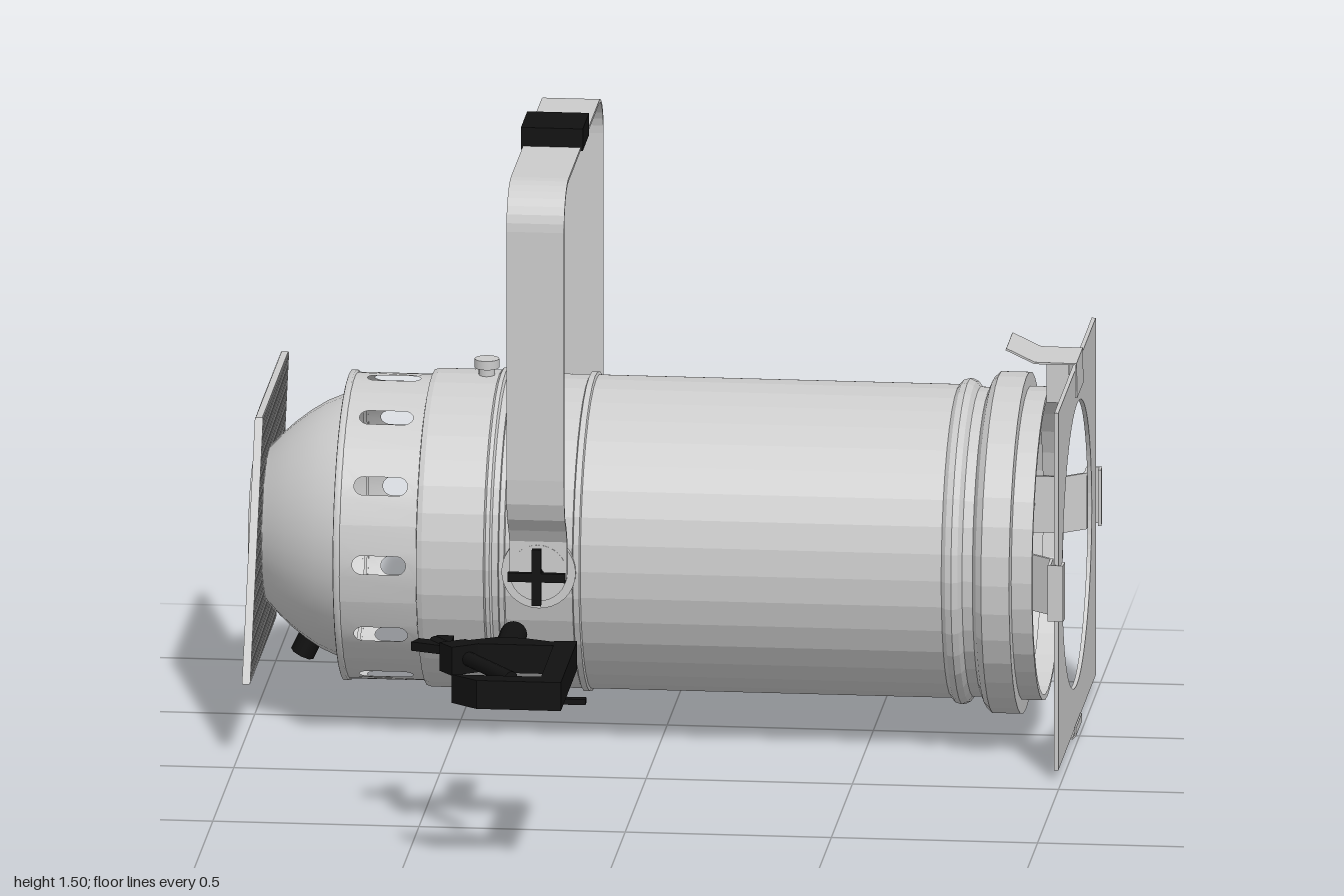
import * as THREE from 'three';
import { mergeGeometries } from 'three/addons/utils/BufferGeometryUtils.js';

const grey = new THREE.MeshStandardMaterial({ color: 0xcccccc, side: THREE.DoubleSide });
const facet = new THREE.MeshStandardMaterial({ color: 0xcccccc, side: THREE.DoubleSide, flatShading: true });
const black = new THREE.MeshStandardMaterial({ color: 0x111111 });
const V2 = (p) => new THREE.Vector2(p[0], p[1]);

function add(parent, name, geo, mat, x = 0, y = 0, z = 0) {
  const m = new THREE.Mesh(geo, mat);
  m.name = name;
  m.position.set(x, y, z);
  parent.add(m);
  return m;
}

// Solid of revolution about the x axis, from [x, radius] pairs
function turned(profile, segments = 36) {
  return new THREE.LatheGeometry(profile.map(([x, r]) => new THREE.Vector2(r, x)), segments).rotateZ(-Math.PI / 2);
}

// Bent sheet strip: path in xy, width centred along z
function ribbon(path, width, t = 0.008) {
  const pts = path.map(V2);
  const off = pts.map((p, i) => {
    const d = pts[Math.min(i + 1, pts.length - 1)].clone().sub(pts[Math.max(i - 1, 0)]).normalize();
    return new THREE.Vector2(p.x - d.y * t, p.y + d.x * t);
  });
  return new THREE.ExtrudeGeometry(new THREE.Shape([...pts, ...off.reverse()]),
    { depth: width, bevelEnabled: false }).translate(0, 0, -width / 2);
}

// One vented sector of the rear can, wrapped from flat sheet to cylinder
function ventSector(x0, x1, r, angle) {
  const h = (Math.PI / 12) * r, pts = [];
  for (let i = 0; i <= 6; i++) pts.push([x0, -h + (i * h) / 3]);
  for (let i = 6; i >= 0; i--) pts.push([x1, -h + (i * h) / 3]);
  const shape = new THREE.Shape(pts.map(V2));
  const slot = new THREE.Path(), w = 0.023;
  slot.absarc(-0.707, 0, w, Math.PI / 2, Math.PI * 1.5, false);
  slot.absarc(-0.623, 0, w, -Math.PI / 2, Math.PI / 2, false);
  shape.holes.push(slot);
  const g = new THREE.ShapeGeometry(shape, 6), p = g.attributes.position;
  for (let i = 0; i < p.count; i++) {
    const a = p.getY(i) / r + angle;
    p.setXYZ(i, p.getX(i), r * Math.sin(a), r * Math.cos(a));
  }
  g.computeVertexNormals();
  return g;
}

// Four-winged hand knob, stem along +z
function crossKnob() {
  const g = new THREE.Group();
  g.name = 'crossKnob';
  add(g, 'knobWing', new THREE.BoxGeometry(0.14, 0.022, 0.014), black, 0, 0, 0.045);
  add(g, 'knobWing', new THREE.BoxGeometry(0.022, 0.14, 0.014), black, 0, 0, 0.045);
  add(g, 'knobStem', new THREE.CylinderGeometry(0.013, 0.013, 0.06, 10).rotateX(Math.PI / 2), black, 0, 0, 0.02);
  return g;
}

function buildCan(f) {
  add(f, 'barrel', turned([[-0.36, 0.38], [-0.195, 0.38], [-0.192, 0.387], [-0.178, 0.387], [-0.175, 0.38],
    [0.7, 0.38], [0.71, 0.391], [0.725, 0.395], [0.74, 0.388], [0.75, 0.375], [0.775, 0.375], [0.785, 0.4],
    [0.8, 0.414], [0.868, 0.414], [0.87, 0.38], [0.92, 0.38], [0.92, 0.365]]), facet);
  add(f, 'lampCollar', turned([[-0.575, 0.37], [-0.573, 0.382], [-0.56, 0.386], [-0.41, 0.386], [-0.405, 0.391],
    [-0.395, 0.391], [-0.39, 0.383], [-0.375, 0.383], [-0.372, 0.389], [-0.36, 0.389], [-0.358, 0.38]]), facet);
  add(f, 'frontInnerRing', turned([[0.79, 0.375], [0.79, 0.355], [0.82, 0.355], [0.82, 0.375]]), grey);
  const sectors = [];
  for (let i = 0; i < 12; i++) sectors.push(ventSector(-0.765, -0.575, 0.37, (i * Math.PI) / 6));
  add(f, 'ventedRearCan', mergeGeometries(sectors), grey);
  add(f, 'rearLip', turned([[-0.76, 0.37], [-0.763, 0.376], [-0.775, 0.376], [-0.777, 0.37], [-0.77, 0.325]]), grey);
  add(f, 'rearDome', turned([[-0.97, 0.185], [-0.955, 0.2], [-0.935, 0.222], [-0.905, 0.249], [-0.87, 0.276],
    [-0.83, 0.301], [-0.79, 0.318], [-0.765, 0.327]]), grey);
  // Lamp: domed lens, bowl and socket
  const lens = [];
  for (let i = 0; i <= 10; i++) {
    const a = (i / 10) * Math.PI / 2;
    lens.push([-0.45 + 0.17 * Math.sin(a), 0.362 * Math.cos(a)]);
  }
  add(f, 'lampLens', turned(lens), grey);
  add(f, 'lampBowl', turned([[-0.8, 0], [-0.8, 0.06], [-0.6, 0.06], [-0.57, 0.16], [-0.52, 0.28], [-0.45, 0.362]]), grey);
  add(f, 'topKnob', new THREE.CylinderGeometry(0.03, 0.03, 0.022, 20), grey, -0.44, 0.414);
  add(f, 'topKnobStem', new THREE.CylinderGeometry(0.02, 0.02, 0.03, 16), grey, -0.44, 0.393);
  const gland = add(f, 'cableGland', new THREE.CylinderGeometry(0.03, 0.03, 0.06, 8), black, -0.875, -0.297);
  gland.rotation.z = -0.45;
}

// Sheared perforated rear panel with a raised ring
function buildMeshPanel(f) {
  const parts = [new THREE.BoxGeometry(0.008, 0.58, 0.62)], n = 26;
  for (let i = 0; i <= n; i++) {
    const s = i / n - 0.5;
    parts.push(new THREE.BoxGeometry(0.016, 0.01, 0.62).translate(0, s * 0.574, 0));
    parts.push(new THREE.BoxGeometry(0.02, 0.58, 0.01).translate(0, 0, s * 0.61));
  }
  const g = mergeGeometries(parts), p = g.attributes.position;
  for (let i = 0; i < p.count; i++) p.setZ(i, p.getZ(i) - 0.53 * p.getY(i));
  add(f, 'rearMeshPanel', g, facet, -0.977, 0.012);
  add(f, 'rearRing', turned([[-0.97, 0.18], [-1, 0.18], [-1, 0.192], [-0.97, 0.192]]), grey);
}

// Square colour frame with round opening, held by clips
function buildFrame(f) {
  const s = 0.446;
  const plate = new THREE.Shape([[-s, -s], [s, -s], [s, s], [-s, s]].map(V2));
  plate.holes.push(new THREE.Path().absarc(0, 0, 0.35, 0, Math.PI * 2, true));
  add(f, 'colourFrame', new THREE.ExtrudeGeometry(plate, { depth: 0.01, bevelEnabled: false, curveSegments: 32 })
    .rotateY(Math.PI / 2), grey, 0.981);
  for (const side of [1, -1]) {
    const clip = new THREE.Group();
    clip.name = 'sideClip';
    clip.rotation.x = side * Math.PI / 2;
    add(clip, 'clipStrip', ribbon([[0.62, 0.358], [0.92, 0.358], [0.974, 0.4], [0.974, 0.46], [0.998, 0.46], [0.998, 0.43]], 0.14), grey);
    for (const x of [0.7, 0.84]) add(clip, 'rivet', new THREE.SphereGeometry(0.013, 10, 6), grey, x, 0.357);
    f.add(clip);
  }
  add(f, 'bottomClip', ribbon([[0.976, -0.385], [0.976, -0.46], [0.986, -0.471], [0.996, -0.46], [0.996, -0.44]], 0.14, 0.004), grey);
  add(f, 'topClip', ribbon([[0.825, 0.5], [0.895, 0.467], [0.994, 0.467], [0.994, 0.385]], 0.15, 0.005), grey);
  add(f, 'topClipBracket', new THREE.BoxGeometry(0.055, 0.105, 0.08), grey, 0.948, 0.415);
}

function buildYoke(f) {
  const yoke = new THREE.Group();
  yoke.name = 'yoke';
  yoke.position.x = -0.275;
  const half = [[0.392, 0], [0.392, 0.08], [0.412, 0.115], [0.445, 0.15], [0.46, 0.19], [0.464, 0.25], [0.464, 0.87]];
  for (let i = 1; i <= 8; i++) {
    const a = (i / 8) * Math.PI / 2;
    half.push([0.364 + 0.1 * Math.cos(a), 0.87 + 0.1 * Math.sin(a)]);
  }
  const path = [...half, ...half.map(([u, y]) => [-u, y]).reverse()];
  add(yoke, 'yokeStrap', ribbon(path, 0.14, -0.008).rotateY(Math.PI / 2), facet);
  for (const s of [1, -1]) {
    add(yoke, 'yokeEnd', new THREE.CylinderGeometry(0.07, 0.07, 0.01, 32).rotateX(Math.PI / 2), grey, 0, 0, s * 0.396);
    add(yoke, 'pivotWasher', new THREE.CylinderGeometry(0.09, 0.09, 0.02, 32).rotateX(Math.PI / 2), grey, 0, 0, s * 0.383);
    const knob = crossKnob();
    knob.position.z = s * 0.395;
    if (s < 0) knob.rotation.y = Math.PI;
    yoke.add(knob);
    add(yoke, 'strapNut', new THREE.CylinderGeometry(0.03, 0.03, 0.016, 16), grey, 0, 0.964, s * 0.195);
  }
  add(yoke, 'mountBlock', new THREE.BoxGeometry(0.15, 0.055, 0.15), black, 0, 0.997);
  add(yoke, 'mountBolt', new THREE.CylinderGeometry(0.03, 0.03, 0.03, 12), grey, 0, 0.967);
  const lower = crossKnob();
  lower.rotation.x = Math.PI / 2;
  lower.position.set(0.005, -0.38, 0);
  yoke.add(lower);
  f.add(yoke);
}

// Separate hook clamp lying flat, outlined in x and z
function buildClamp(root) {
  const clamp = new THREE.Group();
  clamp.name = 'hookClamp';
  const flat = (name, pts, y0, y1) => add(clamp, name, new THREE.ExtrudeGeometry(
    new THREE.Shape(pts.map(([x, z]) => new THREE.Vector2(x, -z))), { depth: y1 - y0, bevelEnabled: false })
    .rotateX(-Math.PI / 2), black, 0, y0);
  flat('hook', [[-0.38, 0.635], [-0.305, 0.595], [-0.24, 0.595], [-0.17, 0.62], [-0.105, 0.61], [-0.105, 1],
    [-0.31, 1], [-0.375, 0.95], [-0.158, 0.95], [-0.158, 0.66], [-0.36, 0.66]], 0.437, 0.508);
  flat('clampJaw', [[-0.435, 0.655], [-0.375, 0.62], [-0.34, 0.66], [-0.4, 0.7]], 0.437, 0.508);
  add(clamp, 'stem', new THREE.CylinderGeometry(0.033, 0.033, 0.17, 16).rotateX(Math.PI / 2), black, -0.277, 0.473, 0.52);
  const bolt = add(clamp, 'clampBolt', new THREE.CylinderGeometry(0.018, 0.018, 0.38, 12).rotateX(Math.PI / 2), black, -0.35, 0.473, 0.69);
  bolt.rotation.y = Math.atan2(0.21, 0.3);
  flat('wing', [[-0.457, 0.5], [-0.415, 0.5], [-0.415, 0.59], [-0.457, 0.57]], 0.462, 0.484);
  flat('wing', [[-0.512, 0.57], [-0.497, 0.533], [-0.42, 0.56], [-0.43, 0.6]], 0.462, 0.484);
  root.add(clamp);
}

export function createModel() {
  const root = new THREE.Group();
  root.name = 'stageLamp';
  const fixture = new THREE.Group();
  fixture.name = 'fixture';
  fixture.position.set(0, 0.475, -0.53);
  root.add(fixture);
  buildCan(fixture);
  buildMeshPanel(fixture);
  buildFrame(fixture);
  buildYoke(fixture);
  buildClamp(root);
  return root;
}
